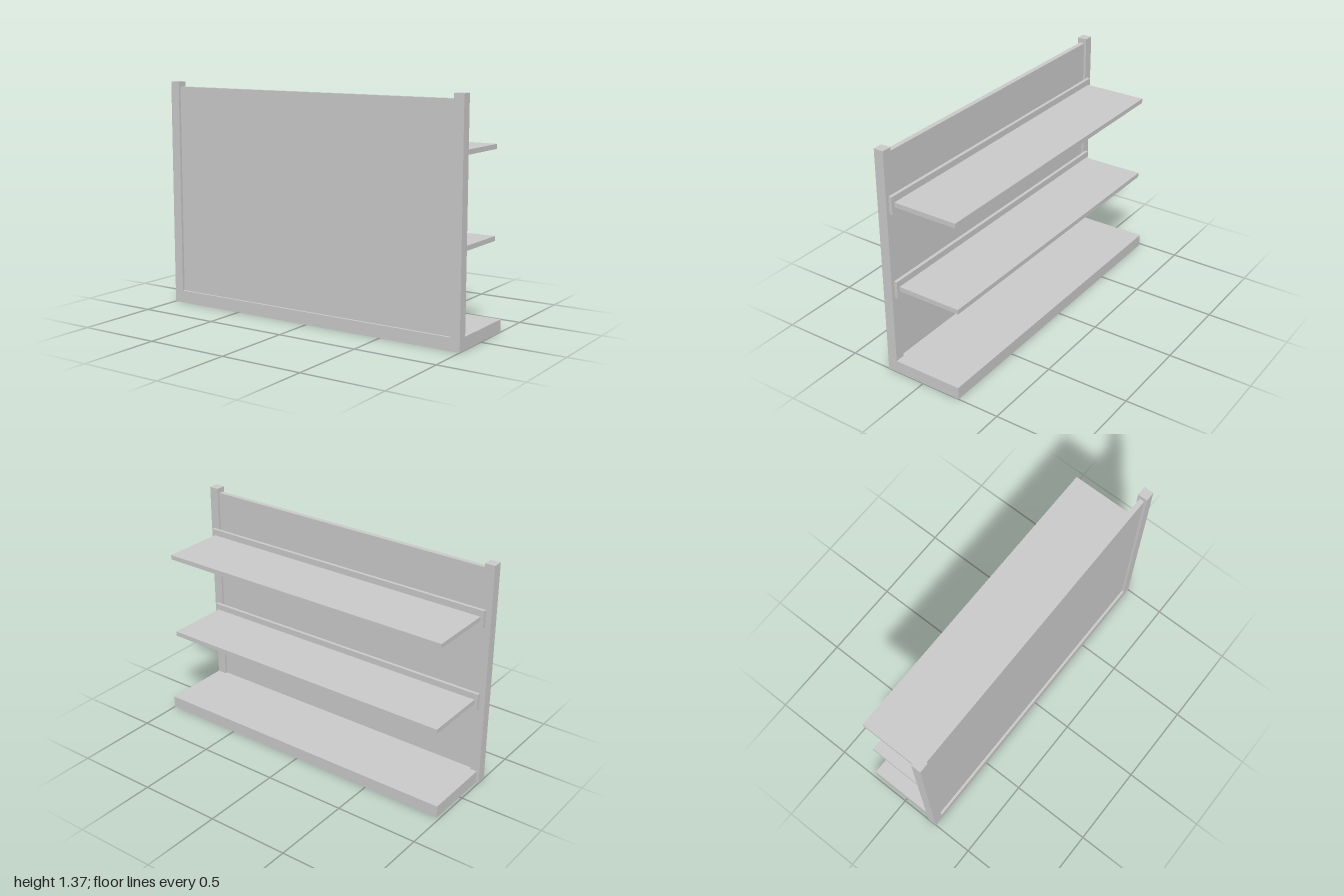
import * as THREE from 'three';

export function createModel() {
  const group = new THREE.Group();
  const material = new THREE.MeshStandardMaterial({ color: 0xcccccc, flatShading: true });

  // Box given by its minimum and maximum on each axis
  function addBox(name, [x0, x1], [y0, y1], [z0, z1]) {
    const mesh = new THREE.Mesh(new THREE.BoxGeometry(x1 - x0, y1 - y0, z1 - z0), material);
    mesh.position.set((x0 + x1) / 2, (y0 + y1) / 2, (z0 + z1) / 2);
    mesh.name = name;
    group.add(mesh);
  }

  // Upright posts
  addBox('leftPost', [0.94, 1], [0, 1.372], [0.185, 0.245]);
  addBox('rightPost', [-1, -0.94], [0, 1.372], [0.185, 0.245]);

  // Base plinth, flush with the left post and slightly short of the right one
  addBox('base', [-0.983, 1], [0, 0.075], [-0.245, 0.245]);

  // Panel recessed between the posts
  addBox('backPanel', [-0.94, 0.94], [0.075, 1.342], [0.2, 0.23]);

  // Shelves, each carried by a rail fixed to the posts
  [['lower', 0.537], ['upper', 1.054]].forEach(([level, y]) => {
    addBox(level + 'Rail', [-0.966, 0.98], [y - 0.052, y + 0.052], [0.165, 0.185]);
    addBox(level + 'Shelf', [-0.946, 0.96], [y - 0.014, y + 0.014], [-0.23, 0.165]);
  });

  return group;
}
